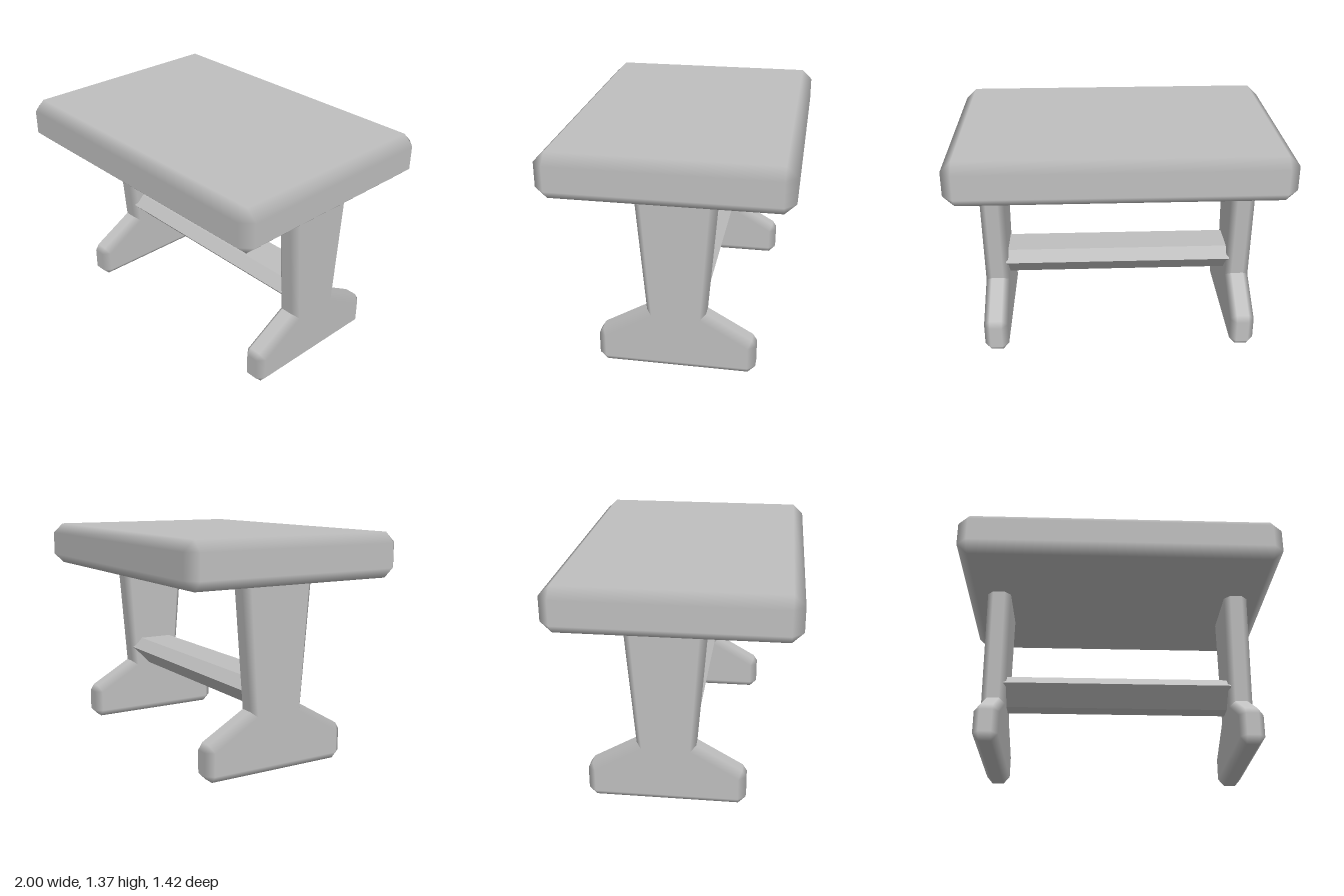
import * as THREE from 'three';

// Prism along z with a one-step soft bevel: `outline` is the widest section,
// `inset` the cap outline (same count, counter-clockwise). Each rim point takes
// the normal of its longer edge; a doubled point makes a sharp crease.
function softPrism(outline, inset, half, bevel) {
  const n = outline.length;
  const pos = [], nor = [], idx = [];
  const edge = i => {
    const a = outline[(i + n) % n], b = outline[(i + 1) % n];
    return new THREE.Vector2(b[0] - a[0], b[1] - a[1]);
  };
  const ring = (pts, z, capNormal) => pts.forEach((p, i) => {
    pos.push(p[0], p[1], z);
    if (capNormal) { nor.push(0, 0, capNormal); return; }
    const e0 = edge(i - 1), e1 = edge(i);
    const e = (e0.length() > e1.length() ? e0 : e1).normalize();
    nor.push(e.y, -e.x, 0);
  });
  ring(inset, -half, -1);
  ring(outline, bevel - half, 0);
  ring(outline, half - bevel, 0);
  ring(inset, half, 1);
  for (let k = 0; k < 3; k++) {
    for (let i = 0; i < n; i++) {
      const j = (i + 1) % n;
      const a = k * n + i, b = k * n + j, c = b + n, d = a + n;
      idx.push(a, b, c, a, c, d);
    }
  }
  const cap = THREE.ShapeUtils.triangulateShape(inset.map(p => new THREE.Vector2(p[0], p[1])), []);
  for (const [a, b, c] of cap) {
    idx.push(3 * n + a, 3 * n + b, 3 * n + c, c, b, a);
  }
  const g = new THREE.BufferGeometry();
  g.setAttribute('position', new THREE.Float32BufferAttribute(pos, 3));
  g.setAttribute('normal', new THREE.Float32BufferAttribute(nor, 3));
  g.setIndex(idx);
  return g;
}

// Completes a right-hand half outline with its mirror image.
const mirrored = half => [...half, ...half.map(([x, y]) => [-x, y]).reverse()];

export function createModel() {
  const model = new THREE.Group();
  model.name = 'table';
  const grey = new THREE.MeshStandardMaterial({ color: 0xbfbfbf });
  grey.name = 'plain grey';
  const legZ = -0.045;

  const add = (name, geometry, x, y, z) => {
    const mesh = new THREE.Mesh(geometry, grey);
    mesh.name = name;
    mesh.position.set(x, y, z);
    model.add(mesh);
  };

  // Thick tabletop with all edges bevelled
  const X = 1, Z = 0.71, B = 0.065;
  const topRim = mirrored([[X - B, -Z], [X, B - Z], [X, Z - B], [X - B, Z]]);
  const topCap = mirrored([[X - B, B - Z], [X - B, B - Z], [X - B, Z - B], [X - B, Z - B]]);
  add('tabletop', softPrism(topRim, topCap, 0.135, 0.062).rotateX(-Math.PI / 2), 0, 1.235, 0);

  // Trestle legs: spreading foot and a post that widens upwards
  const legRim = mirrored([
    [0.425, 0], [0.47, 0.045], [0.47, 0.18], [0.445, 0.22],
    [0.175, 0.375], [0.175, 0.375], [0.237, 1.12], [0.237, 1.12],
  ]);
  const legCap = mirrored([
    [0.425, 0.045], [0.425, 0.045], [0.425, 0.182], [0.425, 0.182],
    [0.142, 0.347], [0.142, 0.347], [0.197, 1.12], [0.197, 1.12],
  ]);
  const leg = softPrism(legRim, legCap, 0.075, 0.038).rotateY(Math.PI / 2);
  add('leftLeg', leg, 0.78, 0, legZ);
  add('rightLeg', leg, -0.78, 0, legZ);

  // Six-sided stretcher bar between the legs
  const section = mirrored([[0.055, 0.36], [0.172, 0.48], [0.11, 0.545]]);
  const bar = new THREE.ExtrudeGeometry(
    new THREE.Shape(section.map(p => new THREE.Vector2(p[0], p[1]))),
    { depth: 1.44, bevelEnabled: false },
  );
  bar.translate(0, 0, -0.72).rotateY(Math.PI / 2);
  add('stretcher', bar, 0, 0, legZ);

  return model;
}
